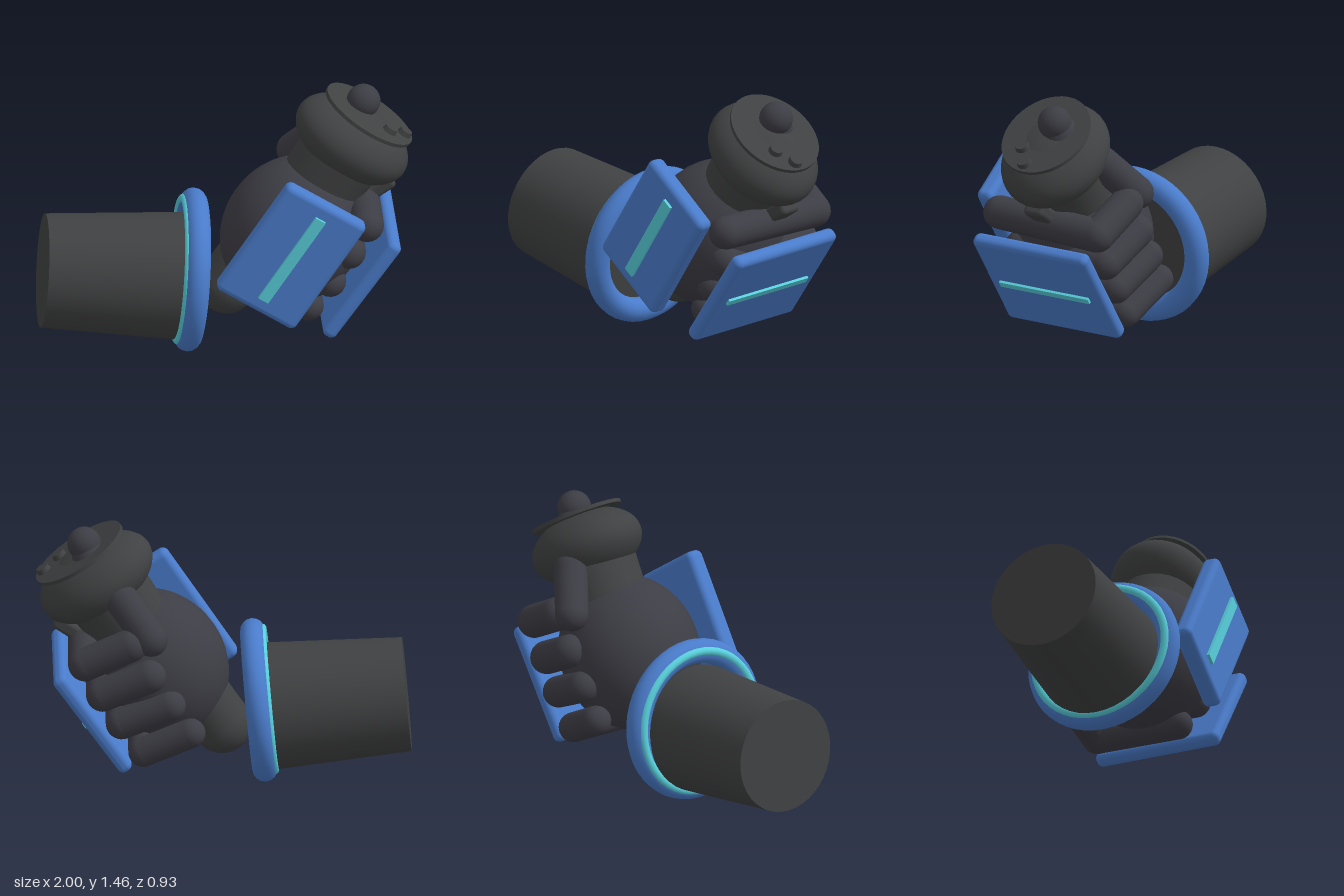
import * as THREE from 'three';
import { RoundedBoxGeometry } from 'three/addons/geometries/RoundedBoxGeometry.js';

const paint = (color) => new THREE.MeshStandardMaterial({ color });
const V = (x, y, z) => new THREE.Vector3(x, y, z);
const UP = V(0, 1, 0);

export function createModel() {
  const model = new THREE.Group();
  const skin = paint(0x3d3d45);
  const shell = paint(0x404142);
  const blue = paint(0x4a7ccb);
  const cyan = paint(0x58d0dc);
  const tilt = -0.58; // lean of the hand and the controller

  const add = (name, geometry, material, pos, parent = model) => {
    const mesh = new THREE.Mesh(geometry, material);
    mesh.name = name;
    mesh.position.copy(pos);
    parent.add(mesh);
    return mesh;
  };

  // Capsule between two points
  const capsule = (name, a, b, r, material, parent = model) => {
    const dir = b.clone().sub(a);
    const geometry = new THREE.CapsuleGeometry(r, dir.length(), 8, 20);
    const mesh = add(name, geometry, material, a.clone().add(b).multiplyScalar(0.5), parent);
    mesh.quaternion.setFromUnitVectors(UP, dir.normalize());
    return mesh;
  };

  // Forearm sleeve
  const armStart = V(-0.975, 0.473, 0), armEnd = V(-0.22, 0.407, 0);
  const armDir = armEnd.clone().sub(armStart);
  const sleeve = add('sleeve', new THREE.CylinderGeometry(0.341, 0.304, armDir.length(), 40),
    shell, armStart.clone().add(armEnd).multiplyScalar(0.5));
  sleeve.quaternion.setFromUnitVectors(UP, armDir.normalize());

  // Cuff ring and its glowing edge
  const cuff = new THREE.Group();
  cuff.name = 'cuff';
  cuff.position.set(-0.188, 0.445, 0);
  cuff.rotation.z = -0.09;
  model.add(cuff);
  const ring = add('cuffRing', new THREE.TorusGeometry(0.37, 0.066, 16, 48), blue, V(0, 0, 0), cuff);
  const glow = add('cuffGlow', new THREE.TorusGeometry(0.378, 0.025, 10, 48), cyan, V(-0.05, 0, 0), cuff);
  ring.rotation.y = glow.rotation.y = Math.PI / 2;

  // Palm and wrist
  const palm = add('palm', new THREE.SphereGeometry(1, 40, 28), skin, V(0.355, 0.66, 0));
  palm.scale.set(0.37, 0.42, 0.375);
  palm.rotation.z = tilt;
  capsule('wrist', V(0.01, 0.33, -0.04), V(0.25, 0.68, -0.04), 0.16, shell);

  // Fingers: a knuckle segment, then one curled round the grip
  const fingers = [
    ['index', [0.5, 0.92, -0.37], [0.74, 0.8, -0.34], [0.73, 0.82, 0.28], 0.09],
    ['middle', [0.4, 0.74, -0.37], [0.645, 0.62, -0.33], [0.64, 0.62, 0.2], 0.09],
    ['ring', [0.29, 0.57, -0.365], [0.545, 0.455, -0.33], [0.54, 0.45, 0.2], 0.085],
    ['little', [0.18, 0.41, -0.365], [0.43, 0.285, -0.32], [0.43, 0.28, 0.15], 0.08],
  ];
  for (const [name, a, b, c, r] of fingers) {
    capsule(name + 'FingerBase', V(...a), V(...b), r, skin);
    capsule(name + 'FingerTip', V(...b), V(...c), r, skin);
  }

  // Thumb
  capsule('thumbBase', V(0.39, 0.95, -0.365), V(0.55, 1.14, -0.245), 0.09, skin);

  // Controller, built upright around the head and then leaned over
  const controller = new THREE.Group();
  controller.name = 'controller';
  controller.position.set(0.675, 1.175, -0.035);
  controller.rotation.z = tilt;
  model.add(controller);
  add('grip', new THREE.CylinderGeometry(0.235, 0.2, 0.75, 32), shell, V(0, -0.4, 0), controller);
  const head = add('head', new THREE.SphereGeometry(1, 40, 28), shell, V(0, 0, 0), controller);
  head.scale.set(0.335, 0.188, 0.287);
  const plate = add('facePlate', new THREE.CylinderGeometry(0.24, 0.24, 0.02, 40), shell, V(0, 0.165, 0), controller);
  plate.scale.x = 1.12;

  // Thumbstick and two buttons
  add('stickBase', new THREE.CylinderGeometry(0.06, 0.1, 0.05, 28), skin, V(-0.05, 0.19, -0.05), controller);
  add('thumbstick', new THREE.SphereGeometry(0.09, 28, 20), skin, V(-0.06, 0.21, -0.035), controller);
  for (const [x, z] of [[0.115, 0.085], [0.215, 0.02]]) {
    add('button', new THREE.CylinderGeometry(0.034, 0.04, 0.03, 24), shell, V(x, 0.187, z), controller);
  }

  // Trigger
  const trigger = add('trigger', new RoundedBoxGeometry(0.22, 0.08, 0.125, 2, 0.025), shell, V(0.8, 0.88, -0.035));
  trigger.rotation.z = 0.6;

  // Side panel with its light strip
  const sidePanel = new THREE.Group();
  sidePanel.name = 'sidePanel';
  sidePanel.position.set(0.315, 0.722, 0.4);
  sidePanel.rotation.z = tilt;
  model.add(sidePanel);
  add('sidePlate', new RoundedBoxGeometry(0.5, 0.725, 0.1, 4, 0.035), blue, V(0, 0, 0), sidePanel);
  add('sideStrip', new THREE.BoxGeometry(0.062, 0.56, 0.03), cyan, V(0, 0, 0.052), sidePanel);

  // Knuckle panel with its light strip
  const frontPanel = new THREE.Group();
  frontPanel.name = 'knucklePanel';
  frontPanel.position.set(0.7, 0.453, -0.008);
  frontPanel.rotation.z = tilt - 0.03;
  model.add(frontPanel);
  add('knucklePlate', new RoundedBoxGeometry(0.08, 0.655, 0.715, 4, 0.034), blue, V(0, 0, 0), frontPanel);
  add('knuckleStrip', new THREE.BoxGeometry(0.03, 0.036, 0.56), cyan, V(0.04, 0, 0), frontPanel);

  return model;
}
